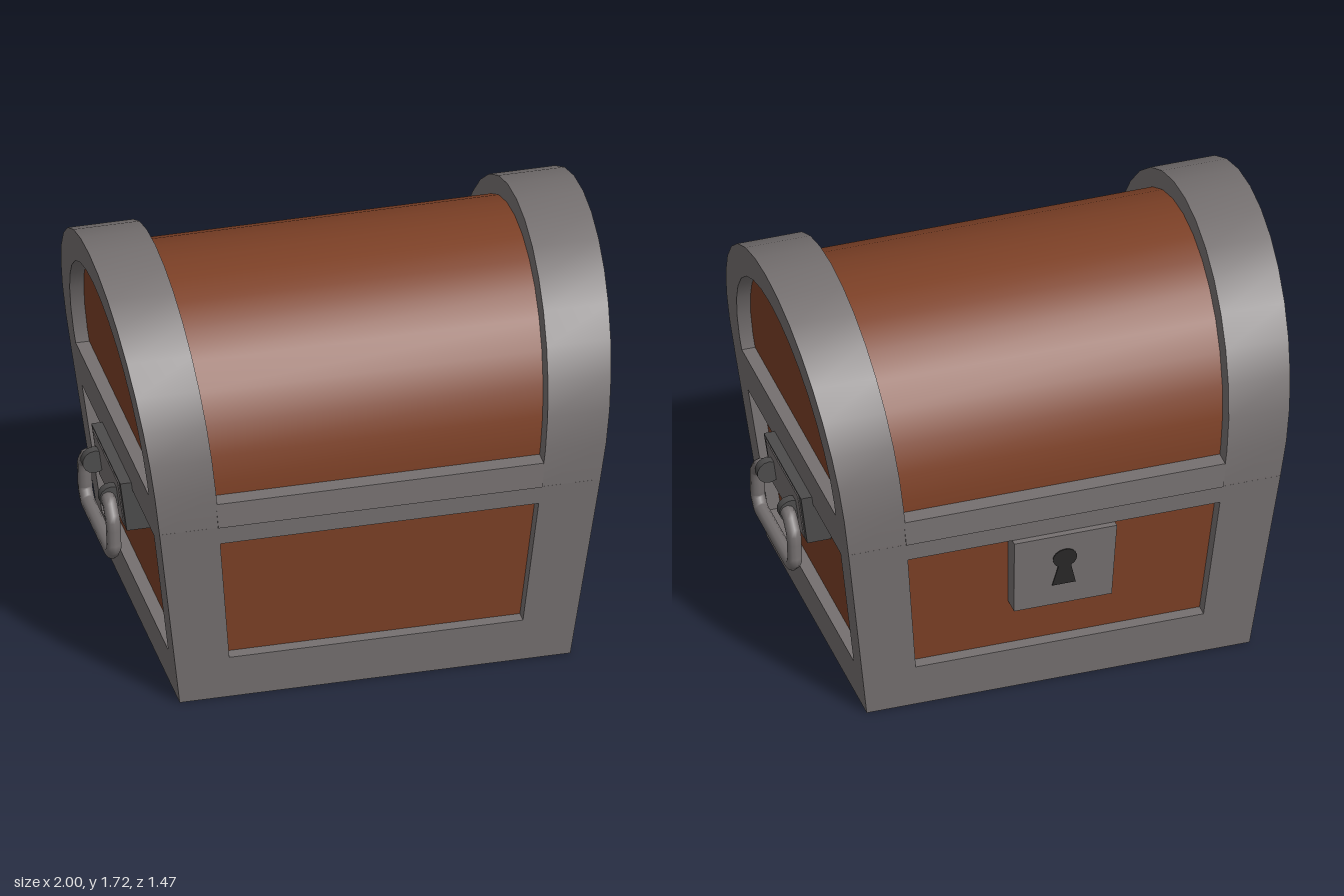
import * as THREE from 'three';
import { toCreasedNormals } from 'three/addons/utils/BufferGeometryUtils.js';

const FLARE = 0.155; // widening per unit of height

const mat = (name, hex) => {
  const m = new THREE.MeshStandardMaterial({ color: hex });
  m.name = name;
  return m;
};

// Widens a geometry with height, in x and optionally z
function flare(geo, inZ = true) {
  const p = geo.attributes.position;
  for (let i = 0; i < p.count; i++) {
    const s = 1 + FLARE * p.getY(i);
    p.setX(i, p.getX(i) * s);
    if (inZ) p.setZ(i, p.getZ(i) * s);
  }
  geo.computeVertexNormals();
  return geo;
}

function box(x0, x1, y0, y1, z0, z1) {
  const g = new THREE.BoxGeometry(x1 - x0, y1 - y0, z1 - z0);
  return g.translate((x0 + x1) / 2, (y0 + y1) / 2, (z0 + z1) / 2);
}

// Arch outline in (z, y): straight foot, then half an ellipse
function archPoints(foot, footHalf, springY, half, topY) {
  const pts = [new THREE.Vector2(footHalf, foot)];
  const n = 15;
  for (let i = 0; i <= n + 1; i++) {
    const a = (Math.PI * i) / (n + 1);
    pts.push(new THREE.Vector2(half * Math.cos(a), springY + (topY - springY) * Math.sin(a)));
  }
  pts.push(new THREE.Vector2(-footHalf, foot));
  return pts;
}

// Extrudes a (z, y) shape along x between x0 and x1
function alongX(shape, x0, x1) {
  const g = new THREE.ExtrudeGeometry(shape, { depth: x1 - x0, bevelEnabled: false });
  g.rotateY(Math.PI / 2).translate(x0, 0, 0);
  return toCreasedNormals(flare(g, false), 0.6);
}

export function createModel() {
  const wood = mat('wood', 0x7c4026);
  const iron = mat('iron', 0x757070);
  const darkIron = mat('dark iron', 0x4c4b4b);
  const black = mat('keyhole black', 0x2a2929);

  const model = new THREE.Group();
  model.name = 'chest';
  const add = (name, geo, material, parent = model) => {
    const m = new THREE.Mesh(geo, material);
    m.name = name;
    parent.add(m);
    return m;
  };

  // Base: wooden core inside an iron frame
  const base = new THREE.Group();
  base.name = 'base';
  model.add(base);
  add('baseWood', flare(box(-0.74, 0.74, 0.1, 0.8, -0.59, 0.59)), wood, base);
  add('bottomRail', flare(box(-0.79, 0.79, 0, 0.19, -0.64, 0.64)), iron, base);
  add('topRail', flare(box(-0.79, 0.79, 0.75, 0.83, -0.64, 0.64)), iron, base);
  for (const sx of [-1, 1]) {
    for (const sz of [-1, 1]) {
      const post = box(0.577, 0.79, 0.19, 0.75, 0.529, 0.64);
      post.translate(sx < 0 ? -1.367 : 0, 0, sz < 0 ? -1.169 : 0);
      add('cornerPost', flare(post), iron, base);
    }
  }

  // Lid: wooden barrel, iron belt and two arched end bands
  const lid = new THREE.Group();
  lid.name = 'lid';
  model.add(lid);
  const barrel = new THREE.Shape(archPoints(0.86, 0.655, 0.98, 0.66, 1.64));
  add('lidWood', alongX(barrel, -0.742, 0.742), wood, lid);
  add('lidBelt', flare(box(-0.58, 0.58, 0.83, 0.94, -0.728, 0.728), false), iron, lid);
  const band = new THREE.Shape(archPoints(0.83, 0.722, 1.0, 0.733, 1.715));
  band.holes.push(new THREE.Path(archPoints(0.942, 0.598, 1.0, 0.605, 1.58)));
  add('leftBand', alongX(band, 0.577, 0.79), iron, lid);
  add('rightBand', alongX(band, -0.79, -0.577), iron, lid);

  // Lock with a keyhole
  const lock = new THREE.Group();
  lock.name = 'lock';
  model.add(lock);
  add('lockPlate', flare(box(-0.19, 0.19, 0.4, 0.747, -0.66, -0.58)), iron, lock);
  const slot = new THREE.Shape();
  slot.absarc(0, 0.63, 0.045, -Math.PI * 0.32, Math.PI * 1.32, false);
  slot.lineTo(-0.045, 0.5);
  slot.lineTo(0.045, 0.5);
  const slotGeo = new THREE.ExtrudeGeometry(slot, { depth: 0.008, bevelEnabled: false });
  add('keyhole', flare(slotGeo.translate(0, 0, -0.664)), black, lock);

  // Side handles: plate, two eyes and a hanging bail
  const half = [[0.13, 0.68], [0.185, 0.68], [0.235, 0.62], [0.238, 0.5], [0.2, 0.458]];
  const pts = [...half, ...half.slice().reverse().map(([z, y]) => [-z, y])]
    .map(([z, y]) => new THREE.Vector3(0.955 + (y - 0.458) * 0.03, y, z));
  const path = new THREE.CurvePath();
  for (let i = 0; i < pts.length - 1; i++) path.add(new THREE.LineCurve3(pts[i], pts[i + 1]));
  // Round the corners by sampling a tight spline
  const bail = new THREE.CatmullRomCurve3(path.getSpacedPoints(40), false, 'centripetal');

  for (const side of [1, -1]) {
    const handle = new THREE.Group();
    handle.name = side > 0 ? 'leftHandle' : 'rightHandle';
    add('handlePlate', flare(box(0.74, 0.83, 0.565, 0.787, -0.212, 0.212)), darkIron, handle);
    add('plateFace', flare(box(0.827, 0.834, 0.575, 0.778, -0.185, 0.185)), iron, handle);
    for (const z of [-0.14, 0.14]) {
      const eye = new THREE.CylinderGeometry(0.05, 0.05, 0.036, 14);
      add('handleEye', eye.rotateX(Math.PI / 2).translate(0.945, 0.68, z), darkIron, handle);
    }
    add('bail', new THREE.TubeGeometry(bail, 60, 0.029, 10), iron, handle);
    if (side < 0) handle.rotation.y = Math.PI;
    model.add(handle);
  }
  return model;
}
